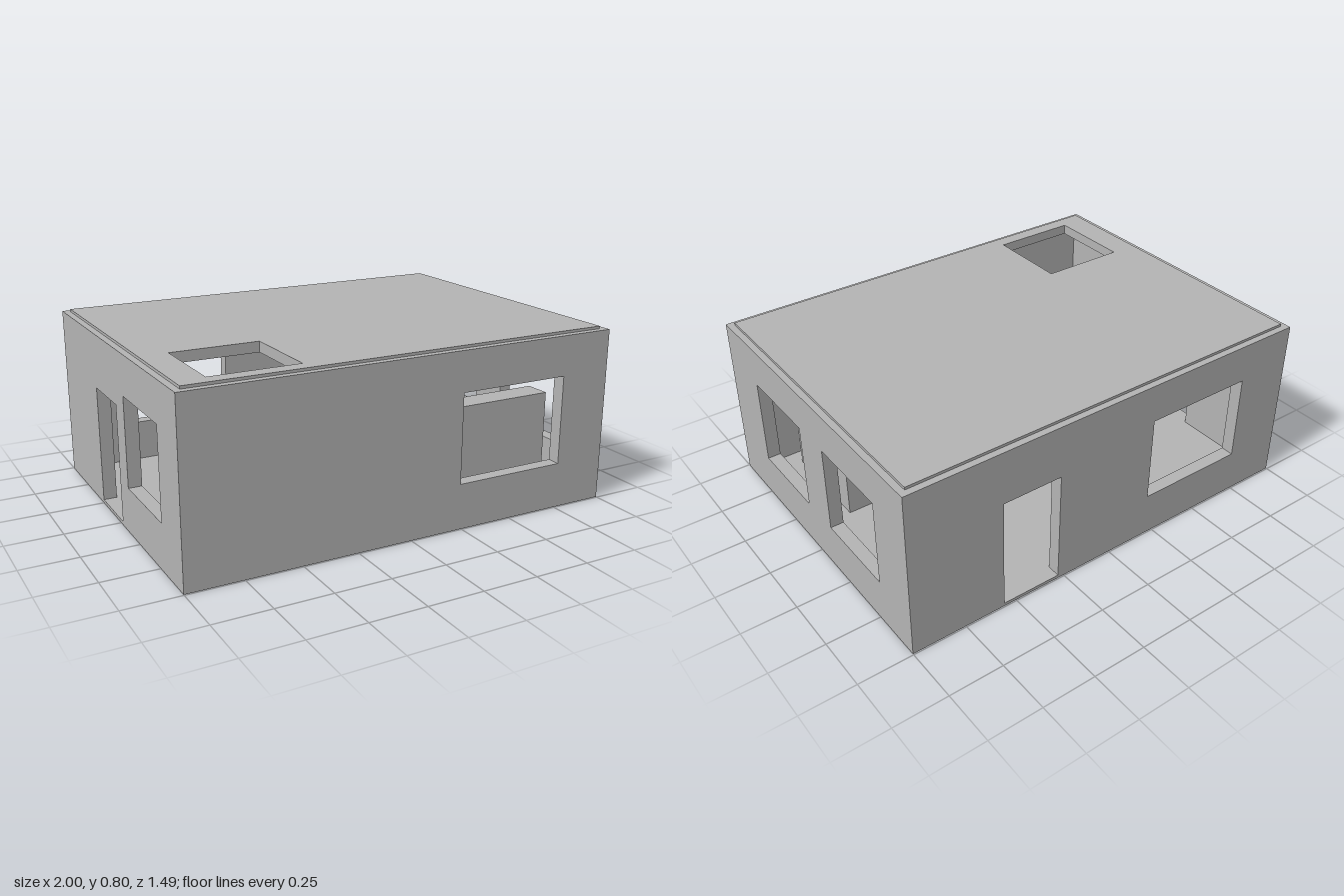
import * as THREE from 'three';

const W = 1, D = 0.745, H = 0.785, T = 0.06; // half width, half depth, wall height, wall thickness
const FLOOR = 0.015, SILL = 0.205, HEAD = 0.605, DOOR = 0.54;

// Flat panel with rectangular openings given as [u0, v0, u1, v1]
function panel(name, rect, holes, depth, material) {
  const trace = (path, [u0, v0, u1, v1]) => {
    path.moveTo(u0, v0);
    path.lineTo(u1, v0);
    path.lineTo(u1, v1);
    path.lineTo(u0, v1);
    path.closePath();
    return path;
  };
  const shape = trace(new THREE.Shape(), rect);
  for (const h of holes) shape.holes.push(trace(new THREE.Path(), h));
  const geometry = new THREE.ExtrudeGeometry(shape, { depth, bevelEnabled: false });
  const mesh = new THREE.Mesh(geometry, material);
  mesh.name = name;
  return mesh;
}

function block(name, x0, x1, y0, y1, z0, z1, material) {
  const mesh = new THREE.Mesh(new THREE.BoxGeometry(x1 - x0, y1 - y0, z1 - z0), material);
  mesh.position.set((x0 + x1) / 2, (y0 + y1) / 2, (z0 + z1) / 2);
  mesh.name = name;
  return mesh;
}

export function createModel() {
  const house = new THREE.Group();
  house.name = 'house';
  const grey = new THREE.MeshStandardMaterial({ color: 0xb4b4b4 });
  grey.name = 'plaster grey';

  // Front wall with one window
  const front = panel('frontWall', [-W, 0, W, H], [[0.24, SILL, 0.76, HEAD]], T, grey);
  front.position.z = D - T;

  // Back wall with a door and a window
  const back = panel('backWall', [-W, 0, W, H],
    [[0.28, FLOOR, 0.56, DOOR], [-0.73, SILL, -0.21, HEAD]], T, grey);
  back.position.z = -D;

  // Side walls: drawn along z, fitted between front and back
  const sideRect = [-D + T, 0, D - T, H];
  const left = panel('leftWall', sideRect,
    [[0.08, SILL, 0.48, HEAD], [-0.515, SILL, -0.115, HEAD]], T, grey);
  left.position.x = W;
  const right = panel('rightWall', sideRect,
    [[0.13, SILL, 0.53, HEAD], [-0.25, FLOOR, 0.025, DOOR]], T, grey);
  right.position.x = -W + T;
  for (const wall of [left, right]) wall.rotation.y = -Math.PI / 2;

  // Roof slab with a hatch, set in from the wall tops
  const roof = panel('roof', [-W + 0.03, -D + 0.03, W - 0.03, D - 0.03],
    [[-0.845, 0.26, -0.45, 0.65]], 0.047, grey);
  roof.rotation.x = Math.PI / 2;
  roof.position.y = 0.797;

  house.add(front, back, left, right, roof);

  // Floor between the walls
  house.add(block('floor', -W + T, W - T, 0, FLOOR, -D + T, D - T, grey));

  // Counter and the taller cabinet behind it
  house.add(block('counter', -0.04, 0.79, FLOOR, 0.275, 0.13, 0.305, grey));
  house.add(block('cabinet', -0.04, 0.79, FLOOR, 0.49, 0.485, 0.6, grey));

  return house;
}
